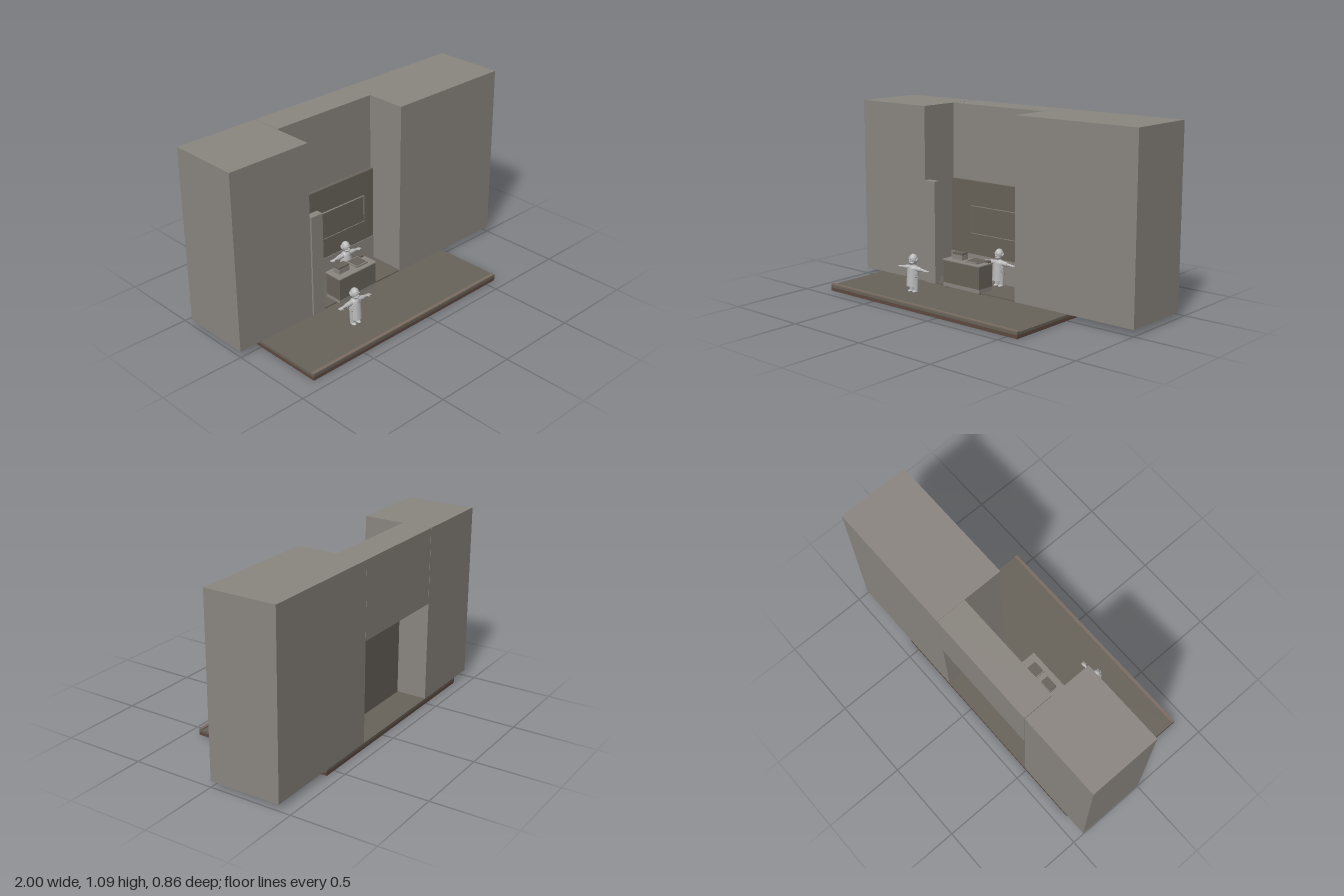
import * as THREE from 'three';

const paint = (name, color) => {
  const m = new THREE.MeshStandardMaterial({ color });
  m.name = name;
  return m;
};

export function createModel() {
  const model = new THREE.Group();
  model.name = 'marketStall';
  const stone = paint('warm grey', 0x8b8680);
  const dark = paint('dark taupe', 0x68635a);
  const brown = paint('brown', 0x5f4a3f);
  const lipTone = paint('light brown', 0x7a6d62);
  const figureGrey = paint('light grey', 0xbababa);

  const add = (parent, name, geometry, material) => {
    const mesh = new THREE.Mesh(geometry, material);
    mesh.name = name;
    parent.add(mesh);
    return mesh;
  };
  // Box given by its lower and upper limits on each axis
  const box = (name, material, x0, x1, y0, y1, z0, z1, parent = model) => {
    const mesh = add(parent, name, new THREE.BoxGeometry(x1 - x0, y1 - y0, z1 - z0), material);
    mesh.position.set((x0 + x1) / 2, (y0 + y1) / 2, (z0 + z1) / 2);
    return mesh;
  };

  // Layered ground platform with a raised front kerb
  box('groundBase', brown, -0.86, 0.57, 0, 0.02, -0.43, 0.427);
  box('groundLayer', dark, -0.86, 0.57, 0.02, 0.035, -0.43, 0.427);
  box('kerb', lipTone, -0.86, 0.57, 0.035, 0.042, 0.407, 0.427);
  box('shopFloor', dark, -0.485, 0.2, 0.035, 0.043, -0.24, -0.001);

  // Buildings either side and the storey above the recess
  box('rightBuilding', stone, -1, -0.489, 0.036, 1.09, -0.43, 0);
  box('leftBuilding', stone, 0.2, 1, 0.036, 1.09, -0.43, 0);
  box('upperStorey', stone, -0.486, 0.199, 0.637, 1.09, -0.43, -0.245);

  // Back wall with a lower panel and a framed board
  box('backWall', dark, -0.486, 0.2, 0.035, 0.637, -0.243, -0.225);
  box('lowerWallPanel', stone, -0.486, 0.2, 0.043, 0.19, -0.225, -0.221);
  box('wallBoard', dark, -0.32, 0.12, 0.32, 0.49, -0.225, -0.217);
  for (const y of [0.32, 0.487]) box('boardFrameRail', stone, -0.32, 0.12, y, y + 0.003, -0.225, -0.214);
  for (const x of [-0.32, 0.117]) box('boardFrameStile', stone, x, x + 0.003, 0.323, 0.487, -0.225, -0.214);
  box('pillar', stone, -0.486, -0.405, 0.036, 0.652, -0.035, 0.009);

  // Counter with worktop, plinth, feet and goods
  const counter = new THREE.Group();
  counter.name = 'counter';
  model.add(counter);
  box('counterBody', dark, -0.313, -0.034, 0.07, 0.203, -0.076, 0.036, counter);
  box('counterPlinth', stone, -0.313, -0.034, 0.048, 0.07, -0.076, 0.036, counter);
  box('worktop', stone, -0.317, -0.03, 0.203, 0.209, -0.08, 0.04, counter);
  for (const x of [-0.305, -0.05])
    for (const z of [-0.07, 0.012]) box('counterFoot', dark, x, x + 0.01, 0.036, 0.048, z, z + 0.01, counter);
  box('till', stone, -0.28, -0.2, 0.209, 0.238, -0.053, -0.003, counter);
  box('tillLid', dark, -0.278, -0.202, 0.238, 0.249, -0.051, -0.005, counter);
  box('tray', stone, -0.161, -0.073, 0.209, 0.219, -0.074, 0.013, counter);
  box('trayInset', dark, -0.154, -0.08, 0.219, 0.221, -0.067, 0.006, counter);
  box('smallBox', dark, -0.066, -0.042, 0.209, 0.222, -0.075, -0.055, counter);

  // Aproned figure with arms held out, standing on y = 0 and facing +z
  const ball = (parent, name, x, y, z, rx, ry, rz) => {
    const mesh = add(parent, name, new THREE.SphereGeometry(1, 18, 12), figureGrey);
    mesh.position.set(x, y, z);
    mesh.scale.set(rx, ry, rz);
    return mesh;
  };
  const rod = (parent, name, from, to, r0, r1) => {
    const a = new THREE.Vector3(...from), d = new THREE.Vector3(...to).sub(a);
    const mesh = add(parent, name, new THREE.CylinderGeometry(r1, r0, d.length(), 14), figureGrey);
    mesh.position.copy(a).addScaledVector(d, 0.5);
    mesh.quaternion.setFromUnitVectors(new THREE.Vector3(0, 1, 0), d.normalize());
    return mesh;
  };
  const makeFigure = (name, x, y, z) => {
    const fig = new THREE.Group();
    fig.name = name;
    fig.position.set(x, y, z);
    model.add(fig);

    // Torso turned from a profile, flattened a little front to back
    const profile = [[0, 0.078], [0.029, 0.08], [0.033, 0.1], [0.034, 0.118], [0.032, 0.14],
      [0.026, 0.155], [0.012, 0.163], [0, 0.165]].map(p => new THREE.Vector2(...p));
    add(fig, 'torso', new THREE.LatheGeometry(profile, 20), figureGrey).scale.z = 0.8;

    // Apron as a curved hanging sheet
    const apron = new THREE.CylinderGeometry(0.03, 0.036, 0.105, 16, 1, true, -1.2, 2.4);
    const apronMesh = add(fig, 'apron', apron, figureGrey);
    apronMesh.position.set(0, 0.095, 0.009);
    const lining = add(fig, 'apronLining', apron.clone().scale(0.96, 1, 0.96), figureGrey);
    const index = lining.geometry.index;
    index.array.reverse();
    lining.position.copy(apronMesh.position);
    const belt = add(fig, 'apronBelt', new THREE.TorusGeometry(0.033, 0.0025, 6, 24), figureGrey);
    belt.rotation.x = Math.PI / 2;
    belt.scale.y = 0.85;
    belt.position.y = 0.098;
    ball(fig, 'beltKnot', 0, 0.098, -0.028, 0.007, 0.005, 0.004);

    // Head with nose, chin, brow and hair
    rod(fig, 'neck', [0, 0.152, 0], [0, 0.175, 0.002], 0.013, 0.012);
    ball(fig, 'head', 0, 0.197, 0.001, 0.025, 0.031, 0.027);
    ball(fig, 'jaw', 0, 0.179, 0.012, 0.018, 0.013, 0.018);
    ball(fig, 'nose', 0, 0.189, 0.029, 0.005, 0.006, 0.009);
    ball(fig, 'moustache', 0, 0.18, 0.026, 0.012, 0.004, 0.006);
    ball(fig, 'backHair', 0, 0.194, -0.008, 0.027, 0.018, 0.021);

    for (const s of [1, -1]) {
      ball(fig, 'ear', s * 0.026, 0.192, 0.001, 0.005, 0.008, 0.006);
      ball(fig, 'brow', s * 0.01, 0.203, 0.025, 0.008, 0.003, 0.004);
      // Arm, rolled sleeve and hand
      ball(fig, 'shoulder', s * 0.026, 0.143, 0, 0.016, 0.015, 0.015);
      rod(fig, 'sleeve', [s * 0.024, 0.143, 0], [s * 0.062, 0.141, 0], 0.015, 0.013);
      rod(fig, 'forearm', [s * 0.06, 0.141, 0], [s * 0.092, 0.14, 0.001], 0.01, 0.007);
      ball(fig, 'palm', s * 0.096, 0.14, 0.001, 0.01, 0.006, 0.01);
      for (let i = 0; i < 4; i++)
        rod(fig, 'finger', [s * 0.1, 0.14, -0.006 + i * 0.005], [s * 0.117, 0.139, -0.008 + i * 0.006], 0.0027, 0.002);
      rod(fig, 'thumb', [s * 0.092, 0.139, 0.006], [s * 0.1, 0.137, 0.016], 0.003, 0.002);
      // Leg and shoe
      rod(fig, 'leg', [s * 0.016, 0.01, -0.002], [s * 0.016, 0.09, 0], 0.014, 0.018);
      ball(fig, 'shoe', s * 0.017, 0.008, 0.006, 0.013, 0.0085, 0.022);
    }
    return fig;
  };
  makeFigure('customer', -0.375, 0.036, 0.222);
  makeFigure('shopkeeper', -0.067, 0.042, -0.18);

  return model;
}
